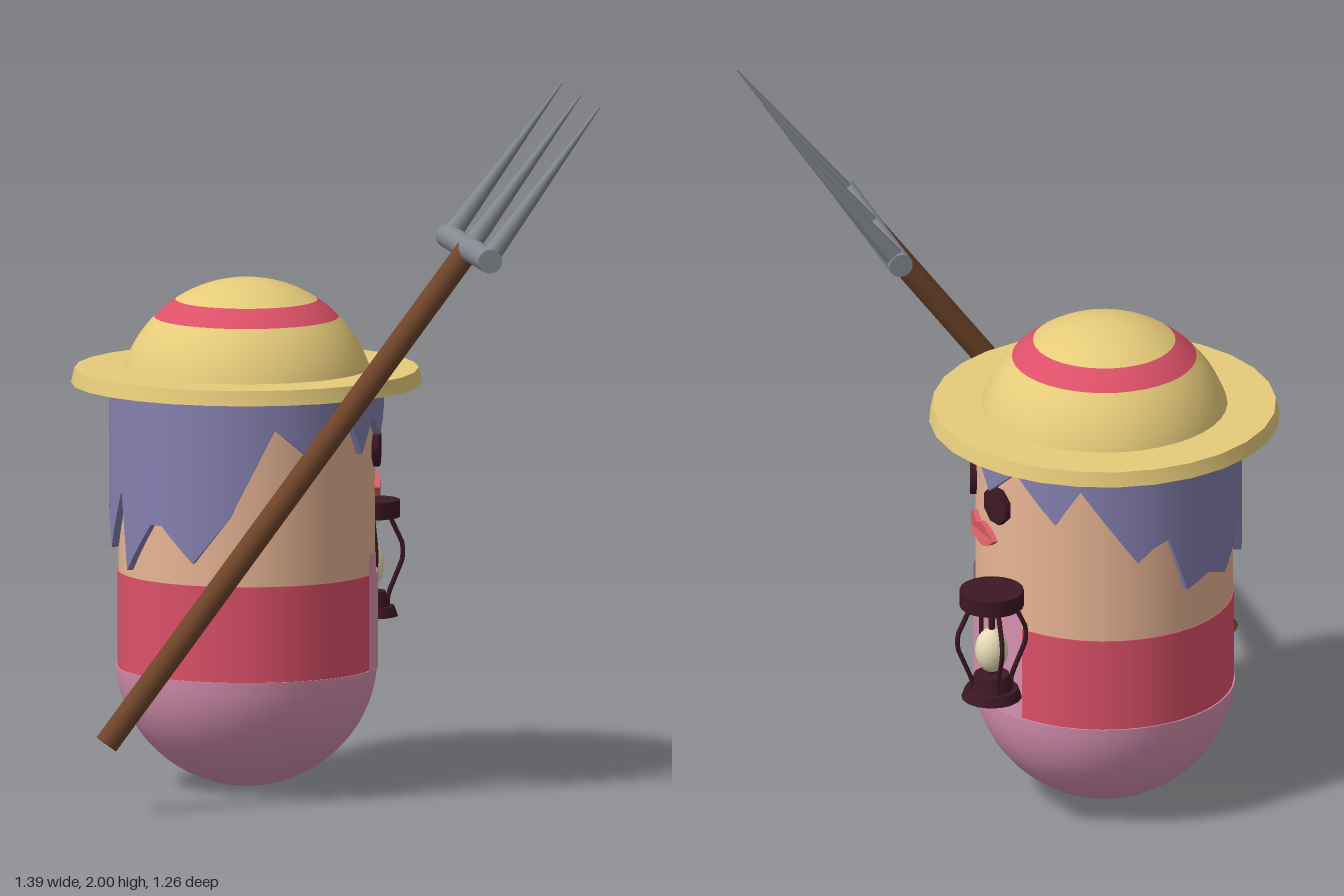
import * as THREE from 'three';
import { toCreasedNormals } from 'three/addons/utils/BufferGeometryUtils.js';

const paint = (color, side = THREE.FrontSide) => new THREE.MeshStandardMaterial({ color, side });
const SKIN = paint(0xe8b594), RED = paint(0xdc5068), PINK = paint(0xd892b0, THREE.DoubleSide);
const HAIR = paint(0x8580b0, THREE.DoubleSide), STRAW = paint(0xe6cb7a), MAROON = paint(0x3c1724);
const WOOD = paint(0x70452a), METAL = paint(0x858990), GLASS = paint(0xe6dcb8), LIPS = paint(0xe0606a);

function add(parent, name, geometry, material, x = 0, y = 0, z = 0) {
  const mesh = new THREE.Mesh(geometry, material);
  mesh.name = name;
  mesh.position.set(x, y, z);
  parent.add(mesh);
  return mesh;
}

// Upright cylinder given by its bottom and top heights
function column(parent, name, material, rTop, rBottom, y0, y1, sides = 32) {
  return add(parent, name, new THREE.CylinderGeometry(rTop, rBottom, y1 - y0, sides), material, 0, (y0 + y1) / 2, 0);
}

const lathe = (points, sides = 40) =>
  toCreasedNormals(new THREE.LatheGeometry(points.map(p => new THREE.Vector2(...p)), sides), 0.5);

// Points on a sphere profile between two heights, listed upward
function arc(r, centerY, y0, y1, n = 12) {
  const a0 = Math.asin((y0 - centerY) / r), a1 = Math.asin(Math.min(1, (y1 - centerY) / r));
  return Array.from({ length: n + 1 }, (_, i) => {
    const a = a0 + (a1 - a0) * i / n;
    return [Math.max(0, r * Math.cos(a)), centerY + r * Math.sin(a)];
  });
}

// Jagged hair shell: lower edge as [degrees from the face, height]
const FRINGE = [[0, 1.08], [11, 1.13], [27, 1.01], [37, 1.07], [46, 0.97], [54, 1.07], [70, 0.95], [91, 1.06],
  [110, 0.81], [126, 0.68], [141, 0.78], [147, 0.78], [163, 0.64], [168, 0.86], [181, 0.69], [191, 0.84],
  [202, 0.75], [210, 0.87], [226, 0.75], [238, 0.78], [250, 0.75], [259, 0.92], [266, 0.9], [273, 0.86],
  [297, 1.08], [308, 0.97], [327, 1.1], [344, 1.01], [356, 1.12], [360, 1.08]];

function hairGeometry() {
  const edge = [];
  for (let i = 0; i < FRINGE.length - 1; i++) {
    const [a, ya] = FRINGE[i], [b, yb] = FRINGE[i + 1];
    const n = Math.ceil((b - a) / 6);
    for (let k = 0; k < n; k++) edge.push([a + (b - a) * k / n, ya + (yb - ya) * k / n]);
  }
  edge.push(FRINGE[FRINGE.length - 1]);
  const pos = [], index = [], rows = 4;
  for (const [deg, y] of edge) {
    const c = Math.cos(deg * Math.PI / 180), s = Math.sin(deg * Math.PI / 180);
    for (const [r, h] of [[0.386, 1.165], [0.386, y], [0.366, y], [0.366, 1.165]]) pos.push(r * c, h, r * s);
  }
  for (let i = 0; i < edge.length - 1; i++) {
    for (let k = 0; k < rows - 1; k++) {
      const a = i * rows + k, b = a + rows;
      index.push(a, b, a + 1, b, b + 1, a + 1);
    }
  }
  const g = new THREE.BufferGeometry();
  g.setAttribute('position', new THREE.Float32BufferAttribute(pos, 3));
  g.setIndex(index);
  return toCreasedNormals(g, 0.6);
}

// Lips outlined flat, then wrapped around the face
function lipsGeometry() {
  const s = new THREE.Shape();
  s.moveTo(-0.105, 0);
  s.quadraticCurveTo(-0.05, 0.055, 0, 0.02);
  s.quadraticCurveTo(0.05, 0.055, 0.105, 0);
  s.quadraticCurveTo(0.05, -0.05, 0, -0.025);
  s.quadraticCurveTo(-0.05, -0.05, -0.105, 0);
  const g = new THREE.ExtrudeGeometry(s, { depth: 0.025, bevelEnabled: false, curveSegments: 8 });
  g.rotateY(Math.PI / 2);
  const p = g.attributes.position;
  for (let i = 0; i < p.count; i++) p.setX(i, p.getX(i) + Math.sqrt(0.35 ** 2 - p.getZ(i) ** 2));
  return toCreasedNormals(g, 0.6);
}

function buildFarmer() {
  const g = new THREE.Group();
  g.name = 'farmer';
  // Body and clothes
  add(g, 'trousers', lathe([...arc(0.368, 0.375, 0.0071, 0.345, 16), [0, 0.345]]), PINK);
  column(g, 'shirt', RED, 0.363, 0.363, 0.34, 0.615, 40);
  column(g, 'head', SKIN, 0.36, 0.36, 0.61, 1.18, 40);
  const patch = (name, from, to, y0, y1) => add(g, name,
    new THREE.CylinderGeometry(0.368, 0.368, y1 - y0, 12, 1, true, Math.PI / 2 + from, to - from), PINK, 0, (y0 + y1) / 2, 0);
  patch('bib', -0.595, 0.595, 0.34, 0.615);
  patch('strapLeft', -0.595, -0.39, 0.615, 0.675);
  patch('strapRight', 0.39, 0.595, 0.615, 0.675);
  // Face
  for (const side of [-1, 1]) {
    const a = side * 0.31;
    const eye = add(g, side > 0 ? 'eyeRight' : 'eyeLeft',
      new THREE.CylinderGeometry(0.056, 0.056, 0.05, 8).rotateY(Math.PI / 8).rotateZ(-Math.PI / 2),
      MAROON, 0.35 * Math.cos(a), 0.965, 0.35 * Math.sin(a));
    eye.rotation.y = -a;
  }
  add(g, 'lips', lipsGeometry(), LIPS, 0, 0.85, 0);
  add(g, 'hair', hairGeometry(), HAIR);
  // Straw hat with a ribbon
  const R = 0.362, cy = 1.078;
  add(g, 'hatBrim', lathe([[0, 1.145], [0.492, 1.145], [0.482, 1.187], [0, 1.187]], 28), STRAW);
  add(g, 'hatCrown', lathe(arc(R, cy, 1.18, 1.331)), STRAW);
  add(g, 'hatRibbon', lathe(arc(R, cy, 1.331, 1.38, 5)), RED);
  add(g, 'hatTop', lathe(arc(R, cy, 1.38, cy + R)), STRAW);
  return g;
}

function buildLantern() {
  const g = new THREE.Group();
  g.name = 'lantern';
  column(g, 'lanternCap', MAROON, 0.09, 0.09, 0.72, 0.768, 20);
  column(g, 'lanternBase', MAROON, 0.075, 0.085, 0.44, 0.468, 16);
  column(g, 'lanternBurner', MAROON, 0.05, 0.06, 0.468, 0.51, 16);
  column(g, 'lanternCollar', GLASS, 0.032, 0.032, 0.698, 0.722, 12);
  column(g, 'lanternStem', MAROON, 0.009, 0.009, 0.5, 0.72, 8);
  add(g, 'lanternGlobe', new THREE.SphereGeometry(0.047, 16, 12).scale(1, 1.4, 1), GLASS, 0, 0.583, 0);
  // Four bent guard bars
  const path = new THREE.CurvePath();
  const pts = [[0.06, 0.725], [0.1, 0.64], [0.1, 0.6], [0.058, 0.5], [0.055, 0.46]].map(([x, y]) => new THREE.Vector3(x, y, 0));
  for (let i = 0; i < pts.length - 1; i++) path.add(new THREE.LineCurve3(pts[i], pts[i + 1]));
  for (let i = 0; i < 4; i++) {
    add(g, 'lanternBar' + (i + 1), new THREE.TubeGeometry(path, 16, 0.007, 6), MAROON).rotation.y = i * Math.PI / 2;
  }
  return g;
}

// Built upright with the crossbar at the origin, then tilted
function buildPitchfork() {
  const g = new THREE.Group();
  g.name = 'pitchfork';
  const length = 1.72;
  add(g, 'handle', new THREE.CylinderGeometry(0.034, 0.034, length, 16), WOOD, 0, -length / 2, 0);
  add(g, 'crossbar', new THREE.CylinderGeometry(0.034, 0.034, 0.54, 16).rotateX(Math.PI / 2), METAL);
  for (const z of [-0.24, 0, 0.24]) {
    add(g, 'tine', new THREE.CylinderGeometry(0.002, 0.028, 0.535, 12), METAL, 0, 0.2675, z);
  }
  g.rotation.z = -0.65;
  g.position.set(0.37, 1.575, 0.365);
  return g;
}

export function createModel() {
  const model = new THREE.Group();
  model.name = 'farmerWithPitchfork';
  const farmer = buildFarmer();
  farmer.position.set(-0.153, 0, -0.138);
  const lantern = buildLantern();
  lantern.position.set(0.25, 0, -0.375);
  model.add(farmer, lantern, buildPitchfork());
  return model;
}
